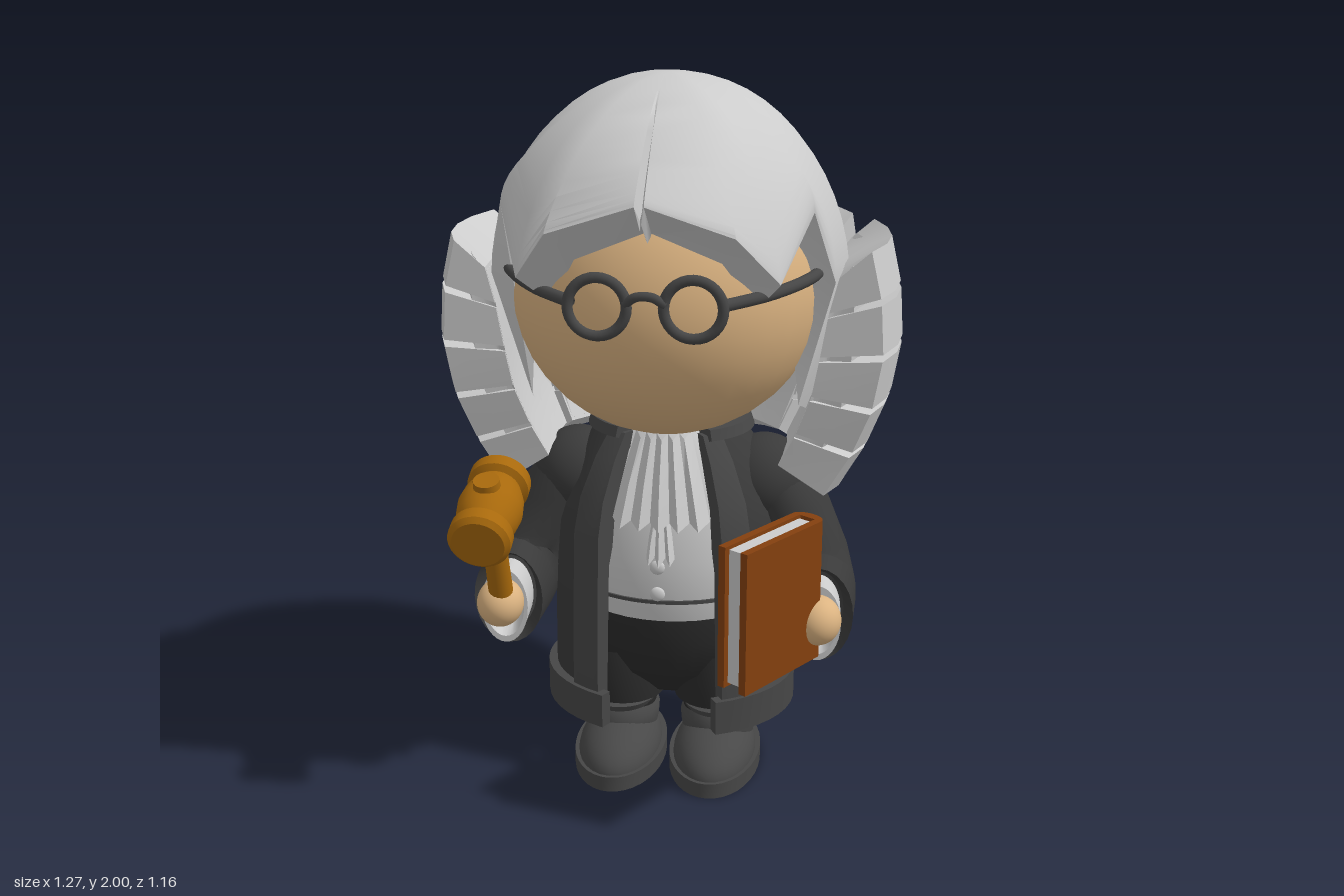
import * as THREE from 'three';
import { toCreasedNormals } from 'three/addons/utils/BufferGeometryUtils.js';

const GREY = 0xcccccc, ROBE = 0x3a3a3a, TRIM = 0x464646, BLACK = 0x2b2b2b, BOOT = 0x484848;
const SKIN = 0xdcb482, WOOD = 0xa8690c, LEATHER = 0x84400f;
const V = (x, y, z) => new THREE.Vector3(x, y, z);
const { lerp: mix, smoothstep } = THREE.MathUtils;

function part(parent, name, geo, color, pos = [0, 0, 0], scale = [1, 1, 1]) {
  const mesh = new THREE.Mesh(geo, new THREE.MeshStandardMaterial({ color, side: THREE.DoubleSide }));
  mesh.name = name;
  mesh.position.set(...pos);
  mesh.scale.set(...scale);
  parent.add(mesh);
  return mesh;
}

// Skin a list of cross-sections; closed sections get end caps
function loft(rows, closed = false, crease = 0.6) {
  const pos = [], idx = [], n = rows[0].length;
  rows.forEach(r => r.forEach(p => pos.push(p.x, p.y, p.z)));
  for (let i = 0; i < rows.length - 1; i++) {
    for (let j = 0; j < (closed ? n : n - 1); j++) {
      const a = i * n + j, b = i * n + (j + 1) % n;
      idx.push(a, b, a + n, b, b + n, a + n);
    }
  }
  if (closed) for (const i of [0, rows.length - 1]) {
    const c = rows[i].reduce((s, p) => s.add(p), V(0, 0, 0)).divideScalar(n);
    pos.push(c.x, c.y, c.z);
    for (let j = 0; j < n; j++) {
      const a = i * n + j, b = i * n + (j + 1) % n, m = pos.length / 3 - 1;
      i ? idx.push(m, a, b) : idx.push(m, b, a);
    }
  }
  const g = new THREE.BufferGeometry();
  g.setAttribute('position', new THREE.Float32BufferAttribute(pos, 3));
  g.setIndex(idx);
  return toCreasedNormals(g, crease);
}

// Sweep an [r, y] profile around y from angle a to b (0 = front), flattened in z
function sector(profile, a, b, closed, sz = 0.82, steps = 40) {
  const rows = [];
  for (let i = 0; i <= steps; i++) {
    const t = mix(a, b, i / steps);
    rows.push(profile.map(([r, y]) => V(r * Math.sin(t), y, r * Math.cos(t) * sz)));
  }
  return loft(rows, closed);
}
const lathe = (pts, seg = 32) => toCreasedNormals(new THREE.LatheGeometry(pts.map(p => new THREE.Vector2(...p)), seg), 0.6);
const tube = (pts, r, seg = 24) => new THREE.TubeGeometry(new THREE.CatmullRomCurve3(pts.map(p => V(...p))), seg, r, 12);
const ball = (r) => new THREE.SphereGeometry(r, 32, 20);

// Wig dome: half of its rim, parting at the front round to the back
function wigCap() {
  const half = [[0, 1.7, 0.565], [0.012, 1.735, 0.58], [0.23, 1.665, 0.58], [0.33, 1.53, 0.46], [0.4, 1.68, 0.3],
    [0.455, 1.48, 0.2], [0.487, 1.42, 0], [0.455, 1.42, -0.2], [0.36, 1.42, -0.34], [0.2, 1.42, -0.42], [0, 1.42, -0.445]];
  const rim = [...half, ...half.slice(0, -1).reverse().map(([x, y, z]) => [-x, y, z])];
  const rows = rim.map(([x, y, z], k) => {
    const col = [], flat = smoothstep(z, 0.1, 0.6) * 0.85, parting = k === 0 || k === rim.length - 1;
    const base = mix(1.42, 1.74, smoothstep(z, -0.05, 0.55));
    for (let i = 0; i <= 14; i++) {
      const a = i / 14 * Math.PI / 2, s = Math.sin(a);
      const dome = base + (2 - base) * mix(Math.cos(a), 1 - s, flat * s);
      const dip = parting && i > 4 && i < 14 ? 0.035 : 0;
      col.push(V(x * s, dome + (y - base) * s ** 6 - dip, mix(0.08, z, s)));
    }
    col.push(V(x * 0.8, y - (z > 0.25 ? 0.09 : 0.35), z * 0.76));
    return col;
  });
  return loft(rows, false, 0.9);
}

// Hanging wig panel of five curled tiers, turned about y
function curlPanel(parent, name, angle, offset, halfWidth) {
  const outer = [[0.595, 1.57], [0.625, 1.44], [0.635, 1.29], [0.61, 1.14], [0.56, 1.01], [0.49, 0.885]];
  const inner = [[0.475, 1.5], [0.45, 1.4], [0.43, 1.28], [0.41, 1.17], [0.37, 1.06], [0.325, 0.97]];
  const g = new THREE.Group();
  g.name = name;
  g.rotation.y = angle;
  parent.add(g);
  const at = (list, k) => {
    const i = Math.min(4, Math.floor(k)), f = k - i;
    return [mix(list[i][0], list[i + 1][0], f), mix(list[i][1], list[i + 1][1], f)];
  };
  const solid = (ks, sink, w) => {
    const rows = [], sect = [...ks.map(k => {
      const o = at(outer, k), i = at(inner, k);
      return [mix(o[0], i[0], sink), mix(o[1], i[1], sink), 0.05];
    }), ...ks.slice().reverse().map(k => [...at(inner, k), 0.01])];
    for (let j = 0; j <= 4; j++) {
      const u = j / 2 - 1;
      rows.push(sect.map(([d, y, bulge]) => V(u * w * mix(0.76, 1, smoothstep(y, 0.8, 1.3)), y, d - offset - bulge * u * u)));
    }
    return loft(rows, true, 0.35);
  };
  for (let t = 0; t < 5; t++) {
    part(g, 'curlTier', solid([t + (t ? 0.07 : 0), t + 0.5, t + 1 - (t < 4 ? 0.06 : 0)], 0, halfWidth), GREY);
  }
  part(g, 'curlCore', solid([0.1, 1, 2, 3, 4, 4.9], 0.4, halfWidth * 0.97), GREY);
  return g;
}

function makeHead(root) {
  const g = new THREE.Group();
  g.name = 'head';
  root.add(g);
  part(g, 'face', ball(1), SKIN, [0, 1.44, 0.06], [0.425, 0.415, 0.43]);
  part(g, 'wigCap', wigCap(), GREY);
  curlPanel(g, 'backCurls', Math.PI, 0.055, 0.158).position.y = 0.025;
  for (const s of [1, -1]) {
    curlPanel(g, 'sideCurls', s * Math.PI / 2, 0, 0.222).position.z = 0.01;
    curlPanel(g, 'rearSideCurls', s * Math.PI * 0.755, 0.055, 0.2).position.y = 0.015;
    // Spectacles
    part(g, 'lensRim', new THREE.TorusGeometry(0.074, 0.014, 10, 32), TRIM, [s * 0.12, 1.47, 0.493]);
    part(g, 'templeArm', tube([[s * 0.19, 1.477, 0.475], [s * 0.3, 1.487, 0.378], [s * 0.39, 1.5, 0.25], [s * 0.425, 1.51, 0.14]], 0.016), TRIM);
  }
  part(g, 'bridge', tube([[-0.05, 1.48, 0.497], [-0.02, 1.5, 0.505], [0.02, 1.5, 0.505], [0.05, 1.48, 0.497]], 0.012), TRIM);
}

// Sleeve from elliptical rings: x, y, z, tilt (0 = facing down, PI/2 = forward), half width, half height
function sleeve(s) {
  const rings = [[0.27, 0.93, 0, 0, 0.085, 0.1], [0.335, 0.81, 0, 0, 0.115, 0.125], [0.39, 0.68, 0.005, 0.15, 0.115, 0.12],
    [0.415, 0.6, 0.025, 0.6, 0.112, 0.135], [0.425, 0.57, 0.05, 1, 0.11, 0.15], [0.432, 0.552, 0.1, 1.35, 0.105, 0.145],
    [0.435, 0.548, 0.22, 1.57, 0.098, 0.138], [0.435, 0.548, 0.17, 1.57, 0.07, 0.11]];
  return loft(rings.map(([x, y, z, a, rx, ry]) => Array.from({ length: 25 }, (_, i) => {
    const t = i / 12 * Math.PI, c = Math.cos(t) * ry;
    return V(s * (x + Math.sin(t) * rx), y + c * Math.sin(a), z + c * Math.cos(a));
  })), false, 0.8);
}

function makeBody(root) {
  const g = new THREE.Group();
  g.name = 'body';
  root.add(g);
  const robe = [[0.335, 0.19], [0.34, 0.3], [0.337, 0.5], [0.328, 0.75], [0.305, 0.85], [0.25, 0.96], [0.2, 1.03]];
  const turn = Math.PI * 2;
  part(g, 'robe', sector(robe, 0.52, turn - 0.52, false), ROBE);
  const band = [...robe.map(([r, y]) => [r + 0.016, y]), ...robe.slice().reverse().map(([r, y]) => [r - 0.02, y])];
  for (const s of [1, -1]) part(g, 'frontTrim', sector(band, s * 0.52, s * 0.8, true, 0.82, 6), TRIM);
  part(g, 'hem', sector([[0.325, 0.285], [0.364, 0.285], [0.364, 0.185], [0.325, 0.185]], 0.46, turn - 0.46, true, 0.84), TRIM);
  part(g, 'collar', sector([[0.16, 1.05], [0.225, 1.05], [0.235, 1.02], [0.17, 1.0]], 0.6, turn - 0.6, true, 0.85), TRIM);
  part(g, 'waistcoat', lathe([[0, 0.49], [0.265, 0.5], [0.285, 0.58], [0.285, 0.68], [0.265, 0.83], [0.2, 0.98], [0.13, 1.05]]), GREY, [0, 0, 0], [1, 1, 0.82]);
  part(g, 'waistSeam', sector([[0.28, 0.57], [0.289, 0.57], [0.289, 0.56], [0.28, 0.56]], -0.6, 0.6, true, 0.82, 16), TRIM);
  part(g, 'trousers', lathe([[0, 0.21], [0.11, 0.22], [0.2, 0.3], [0.25, 0.42], [0.255, 0.51]]), BLACK, [0, 0, 0], [1, 1, 0.85]);
  for (const y of [0.67, 0.59]) part(g, 'button', ball(0.021), GREY, [-0.008, y, 0.235], [1, 1, 0.5]);

  // Pleated neckcloth in two tiers, narrow at the throat
  const ruffle = (top, bottom, w0, w1, z0, z1, folds) => {
    const row = (y, w, z, d) => Array.from({ length: folds * 2 + 1 }, (_, i) => {
      const u = i / folds - 1;
      return V(u * w, y + (i % 2 ? -0.01 : 0.006), z - 0.03 * u * u + (i % 2 ? d : 0));
    });
    return loft([row(top, w0, z0, 0.015), row(mix(top, bottom, 0.5), mix(w0, w1, 0.55), mix(z0, z1, 0.6), 0.03),
      row(bottom, w1, z1, 0.035), row(bottom + 0.01, w1, z1 - 0.06, 0)], false, 0.2);
  };
  part(g, 'neckclothUpper', ruffle(1.04, 0.8, 0.075, 0.135, 0.19, 0.245, 5), GREY);
  part(g, 'neckclothLower', ruffle(0.82, 0.695, 0.025, 0.045, 0.235, 0.24, 3), GREY);

  for (const s of [1, -1]) {
    // Legs and boots
    part(g, 'trouserLeg', lathe([[0.09, 0.12], [0.105, 0.19], [0.125, 0.2], [0.13, 0.28], [0.12, 0.36]]), BLACK, [s * 0.14, 0, 0.03]);
    part(g, 'bootShaft', lathe([[0.1, 0.06], [0.11, 0.11], [0.112, 0.14], [0.1, 0.165], [0.11, 0.185], [0.07, 0.2]]), BOOT, [s * 0.145, 0, 0.025], [1, 1, 1.15]);
    part(g, 'bootToe', new THREE.SphereGeometry(1, 28, 10, 0, turn, 0, Math.PI / 2), BOOT, [s * 0.14, 0.04, 0.085], [0.12, 0.1, 0.215]);
    part(g, 'sole', toCreasedNormals(new THREE.CylinderGeometry(1, 1, 0.045, 36), 0.6), TRIM, [s * 0.14, 0.0225, 0.075], [0.133, 1, 0.235]);

    // Arms bent forward at the elbow
    part(g, 'shoulder', ball(0.128), ROBE, [s * 0.265, 0.865, 0]);
    part(g, 'sleeve', sleeve(s), ROBE);
    const cuff = lathe([[0.068, 0], [0.074, 0.1], [0.062, 0.1], [0.045, 0.04], [0, 0.04]]).rotateX(Math.PI / 2);
    part(g, 'cuff', cuff, GREY, [s * 0.435, 0.545, 0.17], [0.9, 1.5, 1]);
    part(g, 'hand', ball(0.07), SKIN, [s * 0.438, 0.57, 0.3], [0.93, 0.97, 1]);
  }
}

function makeGavel(root) {
  const g = new THREE.Group();
  g.name = 'gavel';
  g.position.set(-0.43, 0.57, 0.31);
  g.rotation.x = 0.3;
  root.add(g);
  part(g, 'gavelHandle', new THREE.CylinderGeometry(0.03, 0.035, 0.36, 18), WOOD, [0, 0.16, 0]);
  const half = [[0.088, 0], [0.082, 0.045], [0.066, 0.085], [0.084, 0.095], [0.084, 0.133], [0.07, 0.146], [0, 0.146]];
  const prof = [...half.map(([r, y]) => [r, -y]).reverse(), ...half.slice(1)];
  part(g, 'gavelHead', lathe(prof).rotateX(Math.PI / 2), WOOD, [0, 0.33, 0]);
  part(g, 'gavelKnob', new THREE.CylinderGeometry(0.035, 0.04, 0.06, 18), WOOD, [0, 0.4, 0]);
}

function makeBook(root) {
  const g = new THREE.Group();
  g.name = 'book';
  g.position.set(0.32, 0.667, 0.414);
  g.rotation.y = -0.6;
  root.add(g);
  for (const s of [1, -1]) part(g, 'cover', new THREE.BoxGeometry(0.022, 0.395, 0.31), LEATHER, [s * 0.036, 0, 0.006]);
  part(g, 'pages', new THREE.BoxGeometry(0.054, 0.375, 0.29), GREY, [0, 0, 0]);
  part(g, 'spine', new THREE.CylinderGeometry(0.047, 0.047, 0.395, 20, 1, false, Math.PI / 2, Math.PI), LEATHER, [0, 0, -0.146], [1, 1, 0.6]);
}

export function createModel() {
  const root = new THREE.Group();
  root.name = 'judgeFigure';
  makeHead(root);
  makeBody(root);
  makeGavel(root);
  makeBook(root);
  return root;
}
